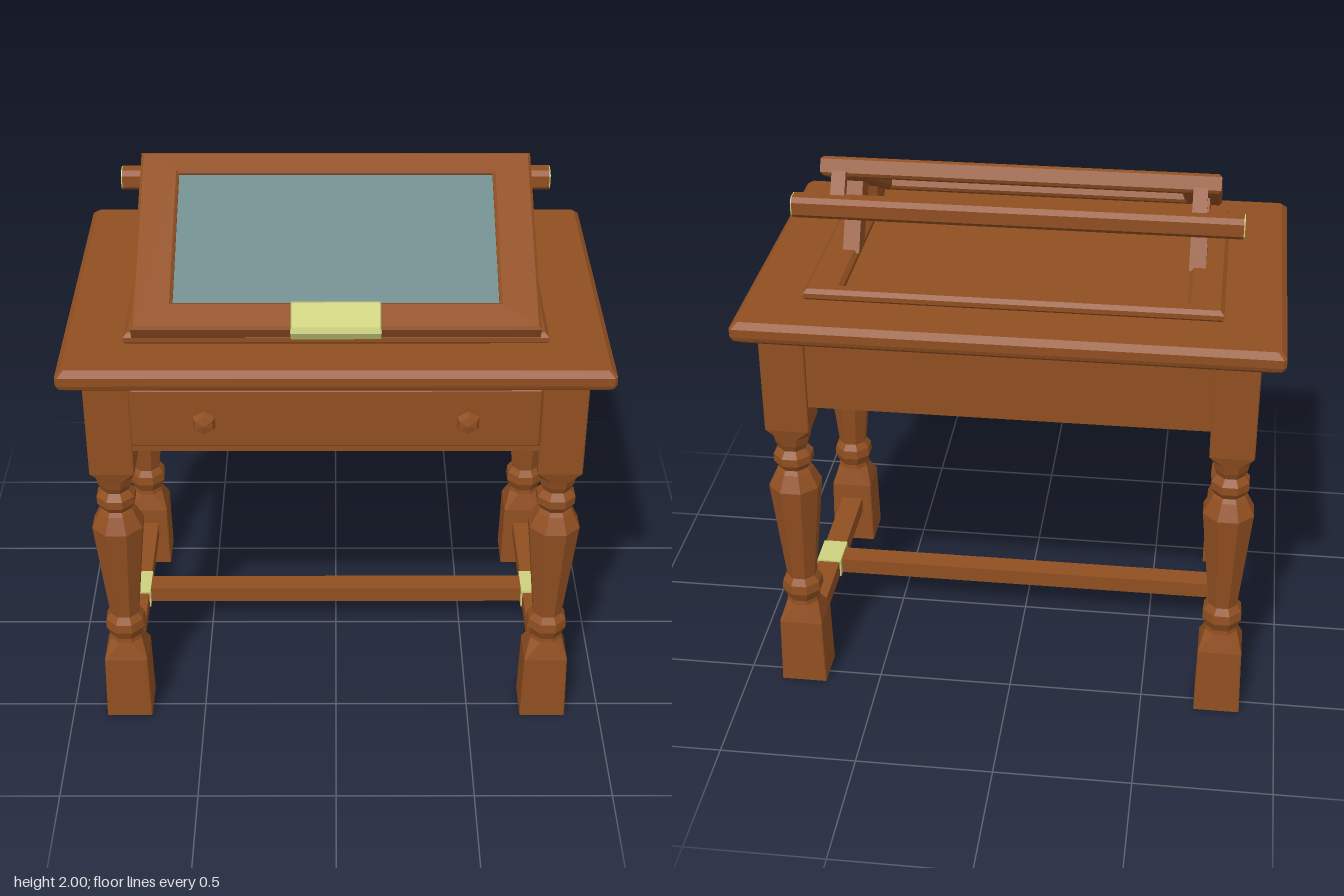
import * as THREE from 'three';

const wood = new THREE.MeshStandardMaterial({ color: 0x914f21 });
const glass = new THREE.MeshStandardMaterial({ color: 0x6d8a8a });
const brass = new THREE.MeshStandardMaterial({ color: 0xcdd07e });
wood.name = 'wood'; glass.name = 'glass'; brass.name = 'brass';
wood.flatShading = brass.flatShading = true;

function add(parent, name, geometry, material, x = 0, y = 0, z = 0) {
  const mesh = new THREE.Mesh(geometry, material);
  mesh.name = name;
  mesh.position.set(x, y, z);
  parent.add(mesh);
  return mesh;
}

// box given by its limits on each axis
function box(parent, name, material, [x0, x1], [y0, y1], [z0, z1]) {
  return add(parent, name, new THREE.BoxGeometry(x1 - x0, y1 - y0, z1 - z0), material,
    (x0 + x1) / 2, (y0 + y1) / 2, (z0 + z1) / 2);
}

// stacked rectangles with cut corners; each level is [y, halfX, halfZ, cut]
function loft(levels) {
  const pos = [], index = [];
  for (const [y, a, b, c] of levels) {
    for (const [x, z] of [[a, -b + c], [a, b - c], [a - c, b], [c - a, b],
      [-a, b - c], [-a, c - b], [c - a, -b], [a - c, -b]]) pos.push(x, y, z);
  }
  const last = (levels.length - 1) * 8;
  for (let i = 0; i < last; i += 8) {
    for (let j = 0; j < 8; j++) {
      const k = (j + 1) % 8;
      index.push(i + j, i + 8 + j, i + k, i + k, i + 8 + j, i + 8 + k);
    }
  }
  for (let j = 1; j < 7; j++) index.push(0, j, j + 1, last, last + j + 1, last + j);
  const g = new THREE.BufferGeometry();
  g.setAttribute('position', new THREE.Float32BufferAttribute(pos, 3));
  g.setIndex(index);
  const flat = g.toNonIndexed();
  flat.computeVertexNormals();
  return flat;
}

// flat rectangular frame lying in xz, height along y from 0
function frame(hx, z0, z1, ix, iz0, iz1, height, bevel) {
  const rect = (C, x, a, b) => new C([[-x, -b], [x, -b], [x, -a], [-x, -a]].map(p => new THREE.Vector2(...p)));
  const shape = rect(THREE.Shape, hx - bevel, z0 + bevel, z1 - bevel);
  shape.holes.push(rect(THREE.Path, ix + bevel, iz0 - bevel, iz1 + bevel));
  return new THREE.ExtrudeGeometry(shape, {
    depth: height - 2 * bevel, bevelSize: bevel, bevelThickness: bevel, bevelSegments: 1,
  }).translate(0, 0, bevel).rotateX(-Math.PI / 2);
}

// outline of [z, y] points, thickened along x
function sidePlate(points, width) {
  const shape = new THREE.Shape(points.map(p => new THREE.Vector2(...p)));
  return new THREE.ExtrudeGeometry(shape, { depth: width, bevelEnabled: false })
    .rotateY(-Math.PI / 2).translate(width / 2, 0, 0);
}

export function createModel() {
  const model = new THREE.Group();
  model.name = 'writingTable';

  // turned legs: square blocks (s) and octagonal turnings (o)
  const s = (y, h) => [y, h, h * 0.95, 0.004];
  const o = (y, h) => [y, h, h, h * 0.586];
  const legGeometry = loft([
    s(0, 0.085), s(0.2, 0.081), s(0.265, 0.08), o(0.335, 0.058), o(0.352, 0.056), o(0.39, 0.071), o(0.425, 0.068),
    o(0.45, 0.052), o(0.85, 0.09), o(0.91, 0.062), o(0.925, 0.052), o(0.95, 0.067), o(0.98, 0.067),
    o(1.005, 0.048), o(1.03, 0.058), o(1.06, 0.064), s(1.105, 0.079), s(1.49, 0.08),
  ]);
  for (const x of [-0.785, 0.785]) {
    for (const z of [-0.482, 0.484]) add(model, z > 0 ? 'frontLeg' : 'backLeg', legGeometry, wood, x, 0, z);
  }

  // H stretcher with brass sleeves
  box(model, 'longStretcher', wood, [-0.76, 0.76], [0.14, 0.202], [-0.042, 0.042]);
  for (const x of [-0.785, 0.785]) {
    box(model, 'sideStretcher', wood, [x - 0.042, x + 0.042], [0.14, 0.202], [-0.42, 0.42]);
    box(model, 'stretcherSleeve', brass, [x - 0.047, x + 0.047], [0.135, 0.209], [-0.065, 0.072]);
  }

  // aprons and drawer
  for (const side of [-1, 1]) {
    const xs = [side * 0.8, side * 0.845].sort((a, b) => a - b);
    box(model, 'sideApron', wood, xs, [1.2, 1.49], [-0.42, 0.42]);
  }
  box(model, 'backApron', wood, [-0.72, 0.72], [1.2, 1.49], [-0.54, -0.49]);
  box(model, 'drawerCase', wood, [-0.708, 0.708], [1.203, 1.485], [-0.495, 0.555]);
  add(model, 'drawerFront', loft([[0, 0.705, 0.116, 0.005], [0.025, 0.705, 0.116, 0.005], [0.035, 0.697, 0.108, 0.005]])
    .rotateX(Math.PI / 2), wood, 0, 1.355, 0.55);
  for (const x of [-0.45, 0.45]) {
    const knob = new THREE.LatheGeometry([[0, 0], [0.022, 0], [0.022, 0.012], [0.044, 0.02], [0.034, 0.04], [0, 0.048]]
      .map(p => new THREE.Vector2(...p)), 6).rotateX(Math.PI / 2);
    add(model, 'drawerKnob', knob, wood, x, 1.35, 0.582);
  }

  // carved leaves in low relief on the left side
  const leaf = [[-0.07, -0.03], [0, -0.045], [0.05, -0.01], [0.075, 0.04], [0.02, 0.025], [-0.01, 0.045], [-0.03, 0.01]];
  for (const [z, y, turn, size] of [
    [0.32, 1.39, 0.4, 1.2], [0.3, 1.27, 2.2, 1], [0.17, 1.42, 3.4, 1], [0.14, 1.3, 1.2, 1.2], [0.02, 1.4, 5.2, 1.1],
    [0, 1.26, 2.9, 0.8], [-0.1, 1.33, 0.9, 0.9], [-0.2, 1.42, 3.2, 1], [-0.24, 1.29, 0.2, 0.7], [-0.33, 1.42, 2.8, 0.8],
  ]) {
    const c = Math.cos(turn) * size, n = Math.sin(turn) * size;
    const points = leaf.map(([u, v]) => [z + u * c - v * n, y + u * n + v * c]);
    add(model, 'carvedLeaf', sidePlate(points, 0.016), wood, 0.845);
  }

  // table top and raised plinth frame
  add(model, 'tableTop', loft([
    [1.475, 0.91, 0.595, 0.01], [1.495, 0.94, 0.623, 0.01], [1.51, 0.945, 0.628, 0.01],
    [1.54, 0.945, 0.628, 0.01], [1.56, 0.925, 0.606, 0.01],
  ]), wood);
  add(model, 'plinthFrame', frame(0.73, -0.42, 0.435, 0.6, -0.36, 0.36, 0.045, 0.014), wood, 0, 1.555);
  box(model, 'plinthPanel', wood, [-0.62, 0.62], [1.55, 1.568], [-0.38, 0.38]);

  // tilted reading board
  const board = new THREE.Group();
  board.name = 'readingBoard';
  board.position.set(0, 1.801, 0.145);
  board.rotation.x = THREE.MathUtils.degToRad(27);
  model.add(board);
  add(board, 'boardFrame', frame(0.695, -0.378, 0.378, 0.557, -0.285, 0.268, 0.067, 0.01), wood, 0, -0.0335);
  box(board, 'glassPane', glass, [-0.58, 0.58], [0.006, 0.015], [-0.31, 0.29]);
  add(board, 'pageClip', loft([
    [0.004, 0.154, 0.066, 0.004], [0.036, 0.154, 0.066, 0.004], [0.052, 0.15, 0.05, 0.004],
  ]), brass, 0, 0, 0.336);

  // struts, feet and brackets on both sides
  for (const x of [-0.625, 0.625]) {
    add(model, 'boardStrut', sidePlate([[-0.09, 1.59], [0.01, 1.59], [0.13, 1.77], [0.035, 1.82]], 0.06), wood, x);
    add(model, 'boardFoot', sidePlate([[0.3, 1.59], [0.41, 1.59], [0.43, 1.63], [0.28, 1.7]], 0.06), wood, x);
    add(model, 'barBracket', sidePlate([[-0.285, 1.855], [-0.255, 1.845], [-0.185, 1.945], [-0.215, 1.965]], 0.05), wood, x);
  }

  // rear crossbar with thin brass end caps
  add(model, 'crossbar', loft([[-0.778, 0.038, 0.038, 0.016], [0.778, 0.038, 0.038, 0.016]])
    .rotateZ(Math.PI / 2), wood, 0, 1.855, -0.272);
  for (const x of [-0.779, 0.779]) {
    add(model, 'crossbarCap', loft([[-0.003, 0.037, 0.037, 0.016], [0.003, 0.037, 0.037, 0.016]])
      .rotateZ(Math.PI / 2), brass, x, 1.855, -0.272);
  }
  return model;
}
